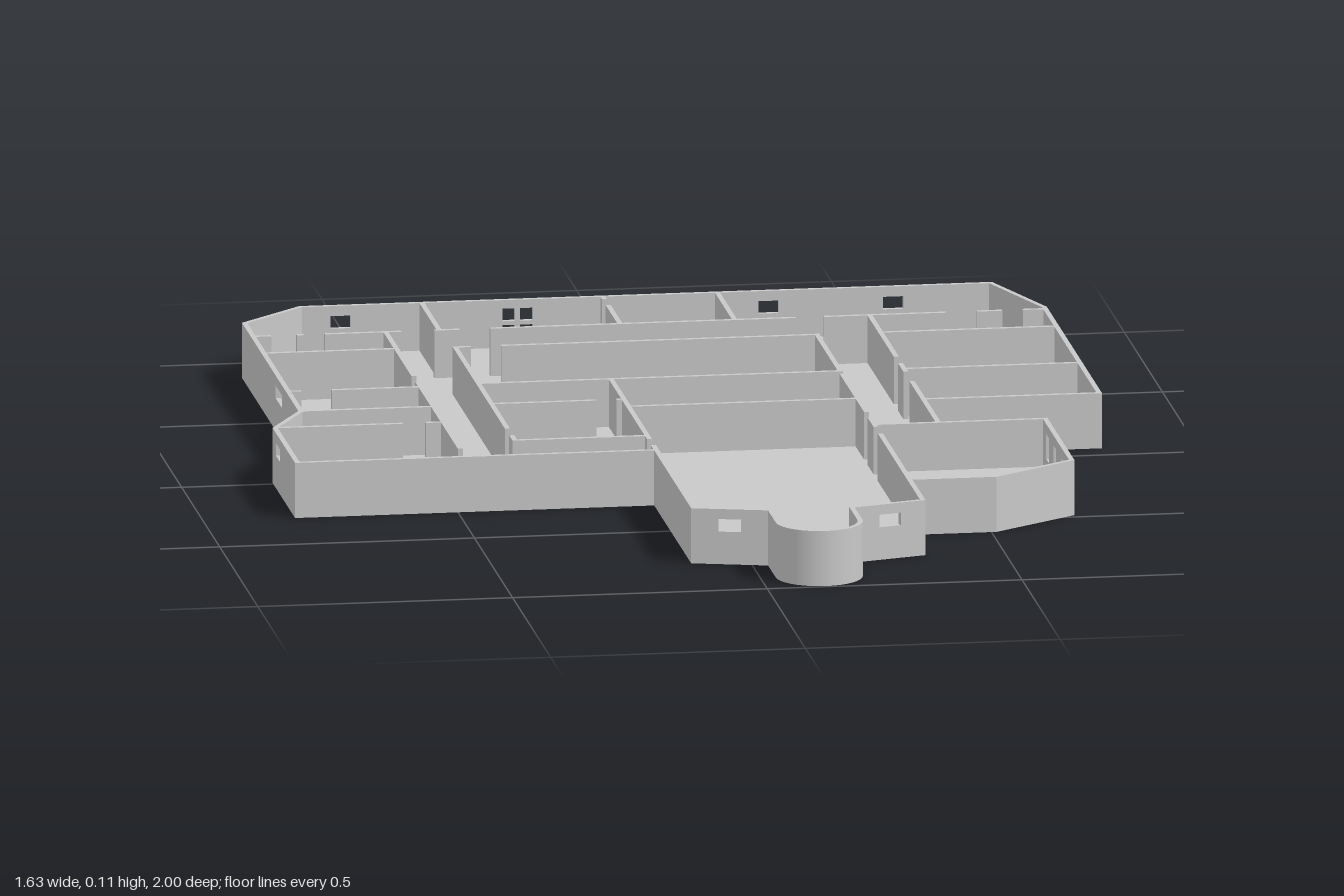
import * as THREE from 'three';

const H = 0.11, T = 0.01, FLOOR = 0.015;
const plaster = new THREE.MeshStandardMaterial({ color: 0xc8c8c8 });
plaster.name = 'plaster grey';

// Outer corners [x, z], clockwise seen from above; the round porch sits between the two marked corners
const porch = { x: 0.115, z: 0.91, r: 0.085 };
const outline = [
  [-0.62, -1], [0.74, -1], [0.815, -0.78], [0.815, -0.055], [0.47, -0.055], [0.47, 0.13],
  [0.68, 0.13], [0.68, 0.485], [0.51, 0.6], [0.345, 0.6], [0.345, 0.77], [0.2, 0.81],
  [0.2, 0.91], [0.03, 0.91], // porch arc
  [0.03, 0.81], [-0.115, 0.77], [-0.115, 0.285], [-0.82, 0.285], [-0.82, -0.01],
  [-0.75, -0.14], [-0.75, -0.88],
];
const ARC = 12;

// Openings by wall index: [distance along wall, width, bottom, top]
const small = (u, w = 0.04) => [u, w, 0.065, 0.09];
const windows = {
  0: [small(0.08), small(0.92), small(1.165),
    [0.41, 0.025, 0.035, 0.06], [0.445, 0.025, 0.035, 0.06],
    [0.41, 0.025, 0.068, 0.093], [0.445, 0.025, 0.068, 0.093]],
  2: [small(0.09, 0.025)],
  6: [0.068, 0.165, 0.27].map(u => [u, 0.035, 0.04, 0.09]),
  10: [small(0.075, 0.045)],
  14: [small(0.075, 0.045)],
  17: [small(0.225, 0.05)],
  19: [small(0.255, 0.085)],
};

// Inner walls running along x: [z, [from, to], ...], gaps are doorways
const alongX = [
  [-0.765, [-0.75, -0.71], [-0.66, -0.645], [-0.605, -0.455], [-0.39, -0.34], [-0.28, 0.32],
    [0.375, 0.615], [0.675, 0.725], [0.765, 0.81]],
  [-0.625, [-0.745, -0.485]],
  [-0.305, [-0.745, -0.72], [-0.66, -0.485]],
  [-0.14, [-0.745, -0.485]],
  [-0.01, [-0.815, -0.565], [-0.52, -0.485]],
  [-0.62, [-0.375, -0.34], [-0.28, 0.345], [0.47, 0.81]],
  [-0.315, [-0.375, 0.345], [0.47, 0.81]],
  [-0.145, [-0.37, -0.165], [-0.125, -0.11]],
  [-0.085, [-0.11, 0.34]],
  [0.16, [-0.375, -0.11]],
  [0.135, [0.34, 0.47]],
];
// Inner walls running along z: [x, [from, to], ...]
const alongZ = [
  [-0.38, [-0.995, -0.765]],
  [-0.025, [-0.995, -0.97], [-0.92, -0.765]],
  [0.2, [-0.995, -0.765]],
  [-0.485, [-0.765, -0.395], [-0.345, 0.215], [0.27, 0.28]],
  [-0.37, [-0.62, 0.065], [0.12, 0.16]],
  [0.34, [-0.62, -0.315], [-0.29, 0.03], [0.075, 0.155], [0.21, 0.6]],
  [-0.11, [-0.315, 0.19], [0.24, 0.29]],
  [0.465, [-0.765, -0.415], [-0.36, -0.29], [-0.21, -0.05]],
];

function mesh(geometry, name) {
  const m = new THREE.Mesh(geometry, plaster);
  m.name = name;
  return m;
}

// Upright wall from a to b with rectangular openings; shift moves its thickness sideways
function wall(a, b, name, { holes = [], extra = [0, 0], shift = 0 } = {}) {
  const dx = b[0] - a[0], dz = b[1] - a[1], len = Math.hypot(dx, dz);
  const rect = (P, x0, y0, x1, y1) => {
    const p = new P();
    p.moveTo(x0, y0).lineTo(x1, y0).lineTo(x1, y1).lineTo(x0, y1).closePath();
    return p;
  };
  const shape = rect(THREE.Shape, -extra[0], 0, len + extra[1], H);
  for (const [u, w, y0, y1] of holes) shape.holes.push(rect(THREE.Path, u - w / 2, y0, u + w / 2, y1));
  const g = new THREE.ExtrudeGeometry(shape, { depth: T, bevelEnabled: false });
  g.translate(0, 0, shift);
  g.rotateY(-Math.atan2(dz, dx));
  g.translate(a[0], 0, a[1]);
  return mesh(g, name);
}

// Flat plan shape in x and z, raised to a height
function raise(shape, height) {
  const g = new THREE.ExtrudeGeometry(shape, { depth: height, bevelEnabled: false, curveSegments: ARC * 2 });
  return g.rotateX(Math.PI / 2).translate(0, height, 0);
}

export function createModel() {
  const group = new THREE.Group();
  group.name = 'floorPlan';

  // Floor slab
  const plan = new THREE.Shape();
  outline.forEach(([x, z], i) => {
    if (i === 0) plan.moveTo(x, z);
    else if (i === 13) plan.absarc(porch.x, porch.z, porch.r, 0, Math.PI, false);
    else plan.lineTo(x, z);
  });
  group.add(mesh(raise(plan, FLOOR), 'floor'));

  // Outer walls, filled out at inward corners
  const n = outline.length;
  const reflex = i => {
    const [p, q, r] = [outline[(i + n - 1) % n], outline[i % n], outline[(i + 1) % n]];
    return (q[0] - p[0]) * (r[1] - q[1]) - (q[1] - p[1]) * (r[0] - q[0]) < 0;
  };
  const outer = new THREE.Group();
  outer.name = 'outerWalls';
  outline.forEach((a, i) => {
    if (i === 12) return;
    const extra = [reflex(i) ? T * 0.8 : 0, reflex(i + 1) ? T * 0.8 : 0];
    outer.add(wall(a, outline[(i + 1) % n], 'outerWall', { holes: windows[i], extra }));
  });

  // Rounded porch wall
  const arc = new THREE.Shape();
  arc.absarc(porch.x, porch.z, porch.r, 0, Math.PI, false);
  arc.absarc(porch.x, porch.z, porch.r - T, Math.PI, 0, true);
  arc.closePath();
  outer.add(mesh(raise(arc, H), 'roundPorchWall'));
  group.add(outer);

  // Room partitions
  const inner = new THREE.Group();
  inner.name = 'partitions';
  for (const [z, ...runs] of alongX)
    for (const [p, q] of runs) inner.add(wall([p, z], [q, z], 'partition', { shift: -T / 2 }));
  for (const [x, ...runs] of alongZ)
    for (const [p, q] of runs) inner.add(wall([x, p], [x, q], 'partition', { shift: -T / 2 }));
  group.add(inner);

  return group;
}
